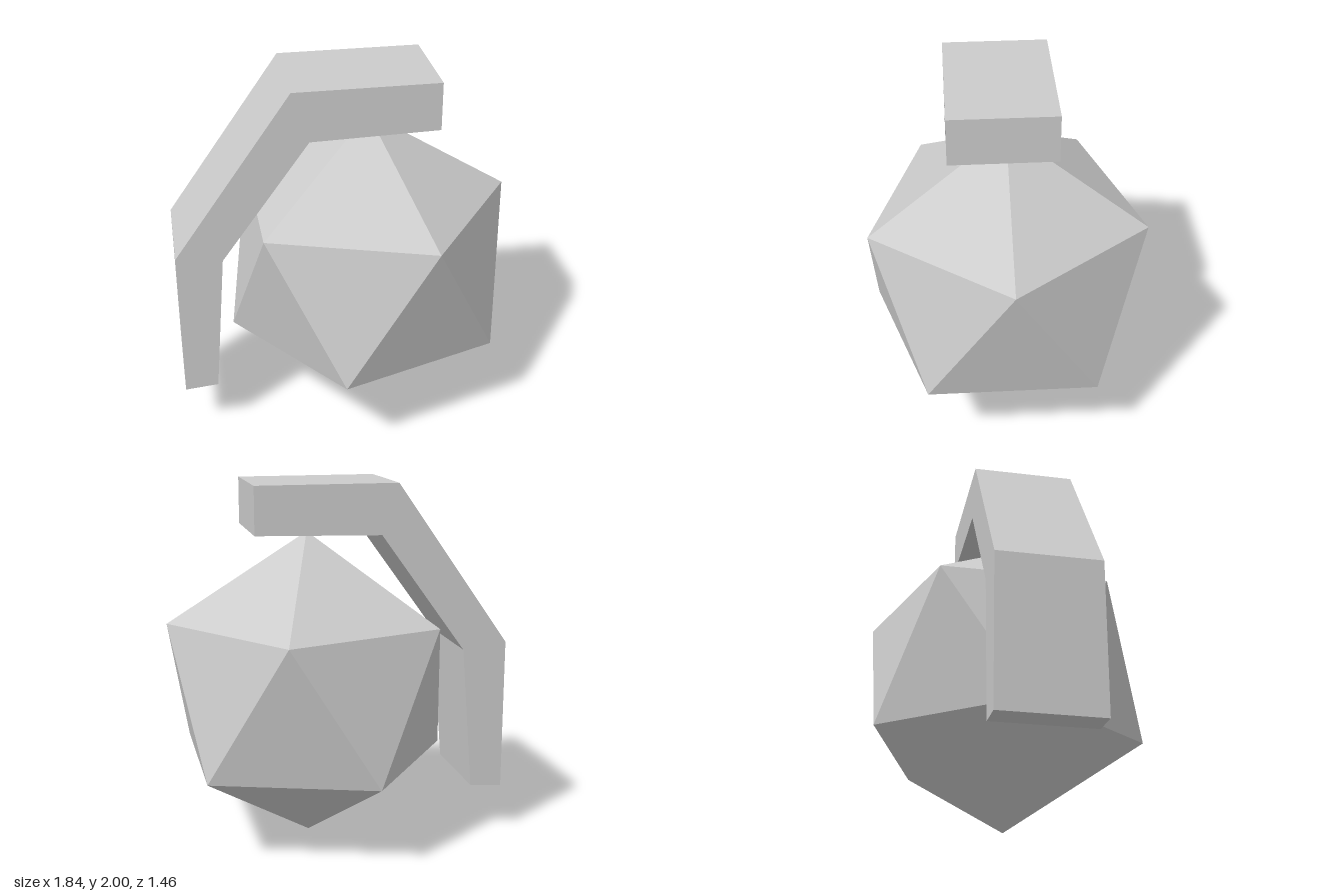
import * as THREE from 'three';

export function createModel() {
  const group = new THREE.Group();
  const material = new THREE.MeshStandardMaterial({ color: 0xcccccc, flatShading: true });

  // Faceted body: icosahedron turned so one vertex points straight up
  const golden = (1 + Math.sqrt(5)) / 2;
  const bodyGeometry = new THREE.IcosahedronGeometry(0.861, 0);
  bodyGeometry.rotateZ(-Math.atan(1 / golden));
  const body = new THREE.Mesh(bodyGeometry, material);
  body.name = 'body';
  body.position.set(0.147, 0.866, 0);
  group.add(body);

  // Bent lever: side profile extruded across z
  const profile = new THREE.Shape([
    [-0.925, 0.27], [-0.745, 0.285], [-0.68, 1.08], [-0.212, 1.727],
    [0.47, 1.742], [0.47, 2], [-0.302, 2], [-0.925, 1.112],
  ].map(([x, y]) => new THREE.Vector2(x, y)));
  const leverGeometry = new THREE.ExtrudeGeometry(profile, { depth: 0.555, bevelEnabled: false });
  const lever = new THREE.Mesh(leverGeometry, material);
  lever.name = 'lever';
  lever.position.z = -0.245;
  group.add(lever);

  return group;
}
